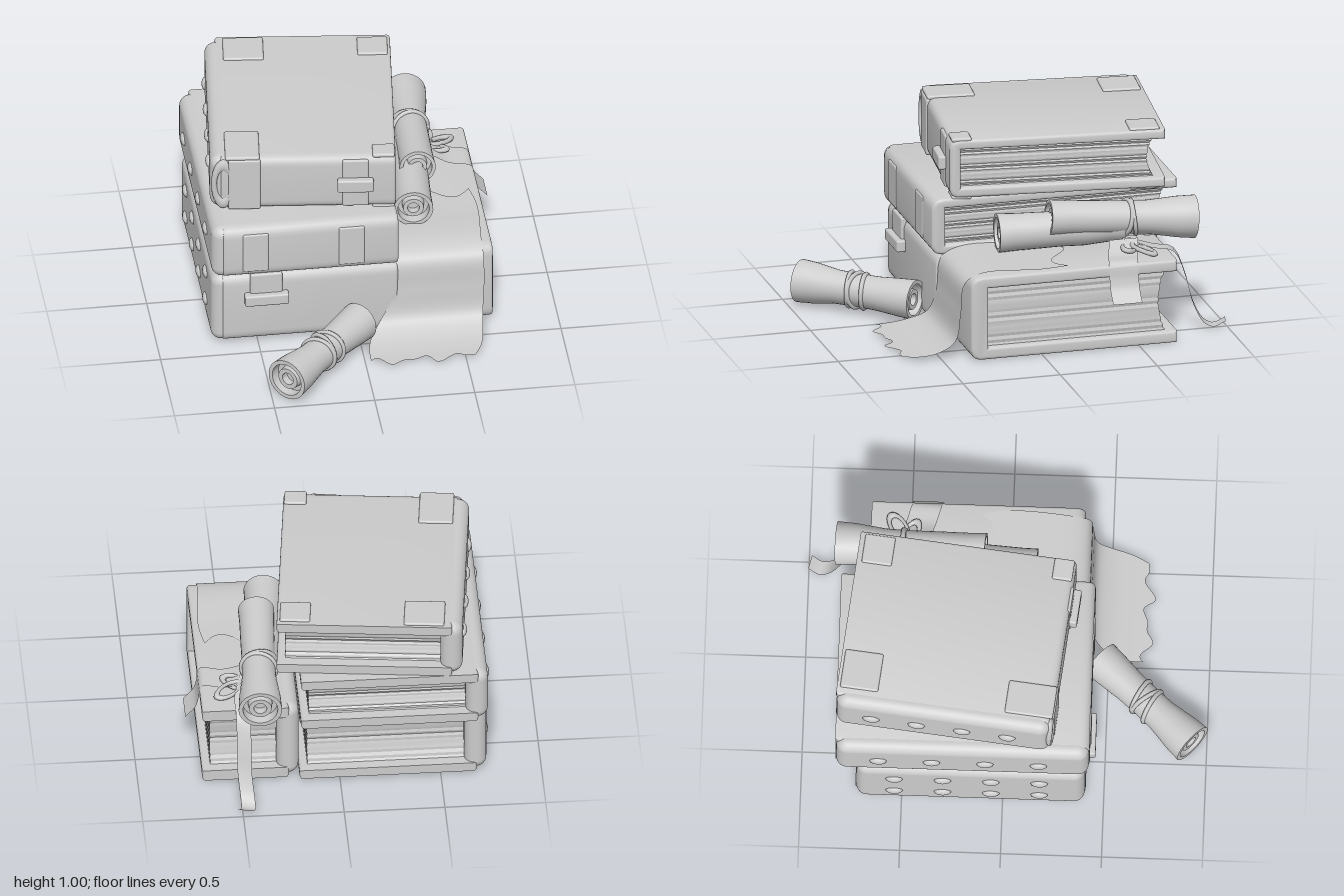
import * as THREE from 'three';
import { toCreasedNormals } from 'three/addons/utils/BufferGeometryUtils.js';
import { RoundedBoxGeometry } from 'three/addons/geometries/RoundedBoxGeometry.js';

const grey = new THREE.MeshStandardMaterial({ color: 0xcccccc, side: THREE.DoubleSide });
grey.name = 'plain grey';
const V = (x, y, z) => new THREE.Vector3(x, y, z);

function add(parent, name, geometry, x = 0, y = 0, z = 0) {
  const mesh = new THREE.Mesh(geometry, grey);
  mesh.name = name;
  mesh.position.set(x, y, z);
  parent.add(mesh);
  return mesh;
}

const slab = (w, h, d, r = 0.01) => new RoundedBoxGeometry(w, h, d, 2, Math.min(r, h / 2.1, d / 2.1));

// Cover section: two boards joined by a rounded front wall, run along x
function coverGeometry(w, h, d, r, t, wall) {
  const b = 0.015, f = d / 2;
  const s = new THREE.Shape();
  s.moveTo(-f, 0);
  s.lineTo(f - r, 0);
  s.quadraticCurveTo(f, 0, f, r);
  s.lineTo(f, h - r);
  s.quadraticCurveTo(f, h, f - r, h);
  s.lineTo(-f, h);
  s.lineTo(-f, h - t);
  s.lineTo(f - wall, h - t);
  s.lineTo(f - wall, t);
  s.lineTo(-f, t);
  s.closePath();
  const g = new THREE.ExtrudeGeometry(s, {
    depth: w - 2 * b, bevelThickness: b, bevelSize: b, bevelOffset: -b, bevelSegments: 3, curveSegments: 6,
  });
  g.rotateY(-Math.PI / 2);
  g.translate(w / 2 - b, 0, 0);
  return toCreasedNormals(g, 0.6);
}

// Page block: finely ridged leaves with a slightly hollowed back edge
function pagesGeometry(w, h, d) {
  const n = 20, g = new THREE.BoxGeometry(w, h, d, 1, n, 1), p = g.attributes.position;
  for (let i = 0; i < p.count; i++) {
    const v = p.getY(i) / (h / 2), row = Math.round((v + 1) * n / 2);
    const ridge = (row % 2) * (0.003 + 0.002 * Math.sin(row * 2.3));
    if (p.getX(i) > 0) p.setX(i, p.getX(i) - ridge);
    if (p.getZ(i) < 0) p.setZ(i, p.getZ(i) + ridge + 0.035 * (1 - v * v));
  }
  return toCreasedNormals(g, 0.3);
}

function book(name, { x, y, z, w, h, d, r = 0.06, t = 0.05, wall = 0.07, turn = 0, bumps = [] }) {
  const g = new THREE.Group();
  g.name = name;
  g.position.set(x, y, z);
  g.rotation.y = turn;
  add(g, 'cover', coverGeometry(w - 0.05, h, d, r, t, wall), 0.025);
  add(g, 'spine', new RoundedBoxGeometry(0.11, h, d - 0.01, 5, 0.053), -w / 2 + 0.055, h / 2);
  add(g, 'pages', pagesGeometry(w - 0.1, h - 2 * t + 0.01, d - 0.09), 0.01, h / 2, 0.005);
  // low studs along the spine
  for (const by of bumps) {
    for (let i = 0; i < 4; i++) {
      const stud = add(g, 'spineStud', new THREE.SphereGeometry(0.036, 12, 8), -w / 2, by, d * (-0.33 + 0.21 * i));
      stud.scale.set(0.5, 0.8, 1.2);
    }
  }
  return g;
}

// Thin sheet through rows of [left point, right point], smoothed lengthwise
function sheet(rows, nu, nv, ripple = () => 0) {
  const a = new THREE.CatmullRomCurve3(rows.map(q => q[0]));
  const b = new THREE.CatmullRomCurve3(rows.map(q => q[1]));
  const g = new THREE.PlaneGeometry(1, 1, nv, nu), p = g.attributes.position;
  for (let i = 0; i < p.count; i++) {
    const s = p.getX(i) + 0.5, u = 0.5 - p.getY(i);
    const uu = THREE.MathUtils.clamp(u + ripple(s, u), 0, 1);
    const q = a.getPoint(uu).lerp(b.getPoint(uu), s);
    p.setXYZ(i, q.x, q.y, q.z);
  }
  g.computeVertexNormals();
  return g;
}

const ribbon = (pts, width) =>
  sheet(pts.map(q => [q.clone().sub(width), q.clone().add(width)]), 24, 2);

// Rolled scroll with flared ends and nested rolls visible inside
function scroll(name, from, to, r0, rMid, r1, ties = []) {
  const g = new THREE.Group(), L = from.distanceTo(to), e = L / 2;
  g.name = name;
  const end = (R, y, k) => [[0, y + k * 0.05], [0.3 * R, y + k * 0.05], [0.3 * R, y + k * 0.01],
    [0.52 * R, y + k * 0.01], [0.56 * R, y + k * 0.05], [0.78 * R, y + k * 0.05], [0.8 * R, y], [R, y]];
  const profile = [...end(r0, -e, 1), [r0 * 0.95, -e * 0.75], [rMid * 1.03, -e * 0.35], [rMid, 0],
    [rMid * 1.03, e * 0.35], [r1 * 0.95, e * 0.75], ...end(r1, e, -1).reverse()];
  add(g, 'roll', toCreasedNormals(
    new THREE.LatheGeometry(profile.map(q => new THREE.Vector2(q[0], q[1])), 28), 0.7));
  // cord wrapped round the roll
  ties.forEach((at, i) => {
    const ring = add(g, 'cord', new THREE.TorusGeometry(rMid + 0.004, 0.012, 6, 28), 0, at, 0);
    ring.rotation.set(Math.PI / 2 + (i % 2 ? 0.2 : -0.15), (i % 2 ? -0.12 : 0.15), 0);
  });
  g.position.copy(from).lerp(to, 0.5);
  g.quaternion.setFromUnitVectors(V(0, 1, 0), to.clone().sub(from).normalize());
  return g;
}

export function createModel() {
  const model = new THREE.Group();
  model.name = 'bookStack';

  // Books
  const lower = book('lowerLeftBook', { x: -0.265, y: 0.02, z: -0.16, w: 0.93, h: 0.39, d: 1.14, bumps: [0.12, 0.28] });
  const side = book('lowerRightBook', { x: 0.44, y: 0.01, z: -0.165, w: 0.48, h: 0.43, d: 1.06, t: 0.06, wall: 0.09 });
  const middle = book('middleBook', { x: -0.265, y: 0.41, z: -0.2, w: 0.93, h: 0.29, d: 1.26, bumps: [0.145] });
  const top = book('topBook', { x: -0.2, y: 0.7, z: -0.25, w: 0.92, h: 0.3, d: 1.08, r: 0.05, wall: 0.055, turn: -0.11, bumps: [0.15] });
  model.add(lower, side, middle, top);

  // Clasp on the lower book
  add(lower, 'strap', slab(0.16, 0.18, 0.03), -0.195, 0.31, 0.57);
  add(lower, 'buckle', slab(0.22, 0.06, 0.05), -0.195, 0.26, 0.59);

  // Faint leather bands on the middle book
  for (const x of [-0.25, 0.23]) add(middle, 'band', slab(0.13, 0.22, 0.02), x, 0.145, 0.624);

  // Straps, clasp and loop on the top book
  add(top, 'strap', slab(0.16, 0.29, 0.025), -0.29, 0.15, 0.535);
  add(top, 'strapTop', slab(0.17, 0.022, 0.24), -0.3, 0.3, 0.42);
  add(top, 'strap', slab(0.13, 0.27, 0.02), 0.26, 0.15, 0.535);
  add(top, 'buckle', slab(0.18, 0.07, 0.04), 0.26, 0.15, 0.56);
  const loop = add(top, 'spineLoop', new THREE.TorusGeometry(0.05, 0.016, 8, 24), -0.395, 0.15, 0.53);
  loop.scale.set(0.9, 2.2, 1);

  // Corner guards on the top book: x, z, width, depth
  for (const [x, z, w, d] of [[0.4, 0.48, 0.11, 0.1], [0.37, -0.44, 0.15, 0.15], [-0.27, -0.43, 0.2, 0.19]]) {
    for (const y of [0.3, 0]) add(top, 'cornerGuard', slab(w, 0.022, d), x, y, z);
  }

  // Torn parchment draped over the right-hand book
  const path = [[0.19, 0.62, 0.446, -0.2], [0.19, 0.65, 0.447, 0.0], [0.19, 0.63, 0.447, 0.3], [0.19, 0.63, 0.4, 0.385],
    [0.19, 0.63, 0.25, 0.405], [0.11, 0.62, 0.1, 0.43], [0.05, 0.61, 0.045, 0.51], [0.03, 0.59, 0.025, 0.6],
    [0.03, 0.53, 0.02, 0.72]];
  const tear = (s, u) => u > 0.85
    ? -(u - 0.85) * (0.22 + 0.14 * Math.sin(s * 15 + 1) + 0.1 * Math.sin(s * 26))
    : u < 0.12 ? (0.12 - u) * (0.3 + 0.3 * Math.cos(s * 8)) : 0;
  add(model, 'parchment', sheet(path.map(([a, b, y, z]) => [V(a, y, z), V(b, y, z)]), 48, 36, tear));

  // Scrolls
  model.add(scroll('frontScroll', V(-0.43, 0.125, 0.93), V(0.0, 0.12, 0.46), 0.108, 0.082, 0.1, [-0.04, 0.0, 0.04]));
  model.add(scroll('upperScrollInner', V(0.315, 0.54, 0.13), V(0.37, 0.545, -0.5), 0.098, 0.088, 0.085));
  model.add(scroll('upperScrollOuter', V(0.37, 0.615, -0.12), V(0.405, 0.565, -0.86), 0.09, 0.082, 0.108, [0.02, 0.06]));

  // Loose ribbons and knot beside the upper scroll
  add(model, 'trailingRibbon', ribbon([V(0.44, 0.5, -0.48), V(0.48, 0.46, -0.62), V(0.48, 0.43, -0.73), V(0.48, 0.3, -0.79),
    V(0.48, 0.15, -0.83), V(0.47, 0.04, -0.89), V(0.47, 0.015, -0.94), V(0.49, 0.045, -0.995)], V(0.035, 0, 0.008)));
  add(model, 'sideRibbon', ribbon([V(0.46, 0.5, -0.48), V(0.56, 0.455, -0.45), V(0.67, 0.445, -0.42),
    V(0.685, 0.37, -0.42), V(0.7, 0.32, -0.42), V(0.75, 0.26, -0.42)], V(0, 0, 0.075)));
  for (const [x, z, a] of [[0.5, -0.5, 0.5], [0.54, -0.56, -0.6]]) {
    const bow = add(model, 'bowLoop', new THREE.TorusGeometry(0.05, 0.013, 6, 20), x, 0.465, z);
    bow.rotation.set(Math.PI / 2 - 0.25, 0, a);
    bow.scale.set(1.4, 0.7, 1);
  }
  return model;
}
